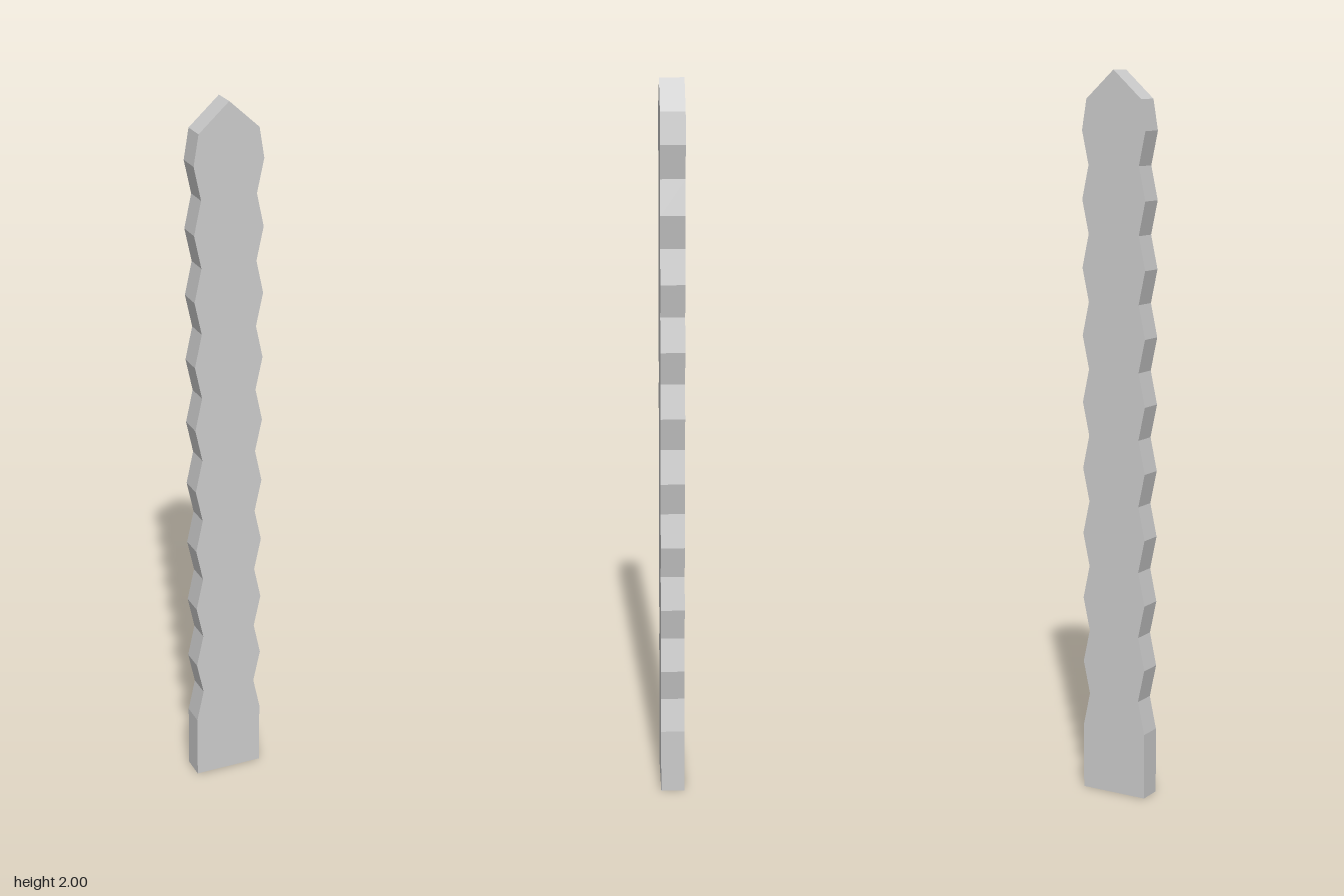
import * as THREE from 'three';

export function createModel() {
  const wide = 0.098, narrow = 0.078, depth = 0.066;
  const firstTooth = 0.185, step = 0.092, steps = 18;

  // One edge from base to shoulder: straight foot, then a zigzag
  const edge = [[wide, 0]];
  for (let i = 0; i <= steps; i++) {
    edge.push([i % 2 ? narrow : wide, firstTooth + i * step]);
  }
  edge.push([0.084, 1.924]);

  // Mirror the edge around the pointed tip
  const outline = [
    ...edge,
    [0, 2],
    ...edge.map(([x, y]) => [-x, y]).reverse(),
  ].map(([x, y]) => new THREE.Vector2(x, y));

  const geometry = new THREE.ExtrudeGeometry(new THREE.Shape(outline), {
    depth,
    bevelEnabled: false,
  });
  geometry.translate(0, 0, -depth / 2);

  const plank = new THREE.Mesh(
    geometry,
    new THREE.MeshStandardMaterial({ color: 0xcccccc, flatShading: true })
  );
  plank.name = 'serratedPlank';

  const group = new THREE.Group();
  group.name = 'picket';
  group.add(plank);
  return group;
}
